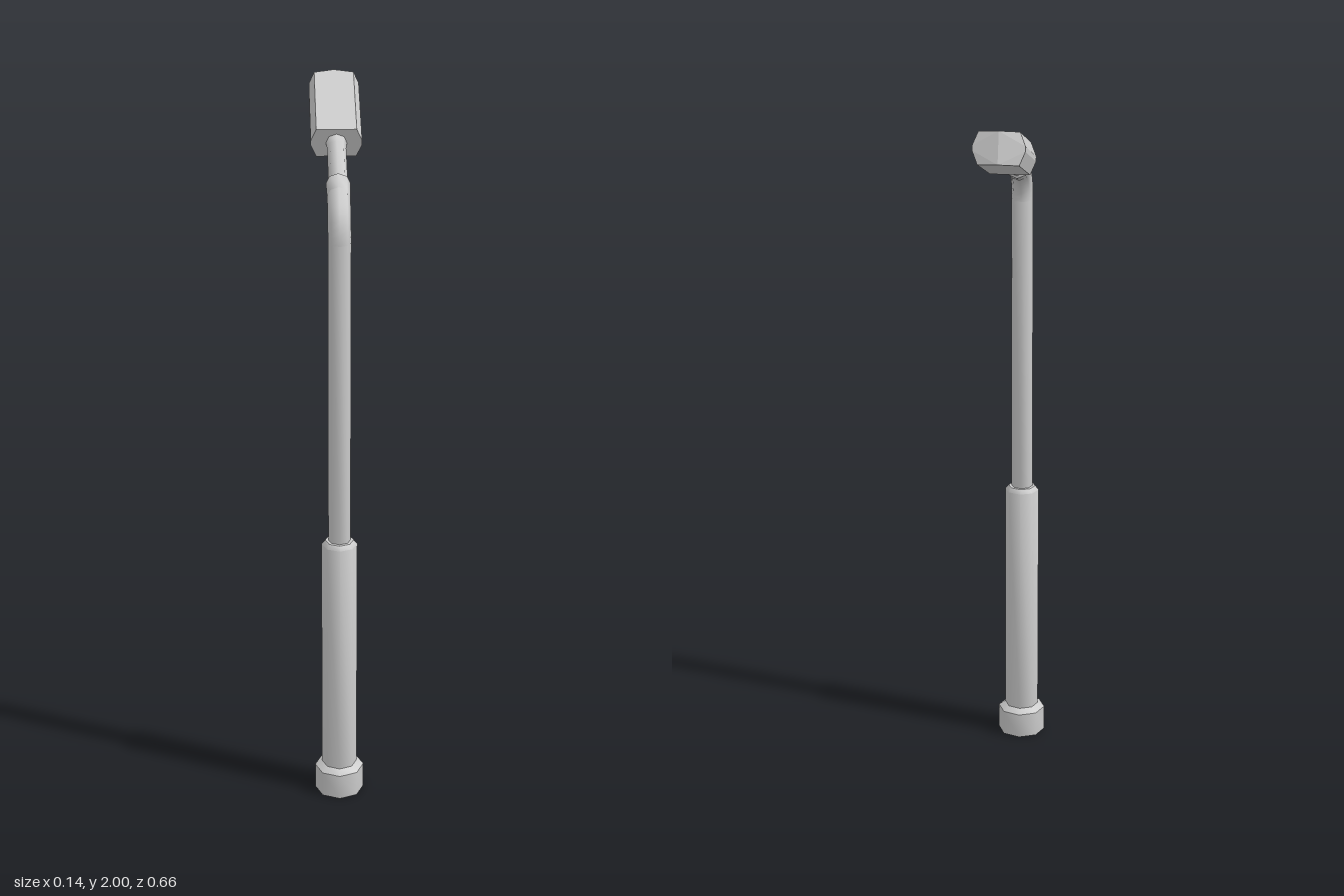
import * as THREE from 'three';
import { toCreasedNormals } from 'three/addons/utils/BufferGeometryUtils.js';
import { ConvexGeometry } from 'three/addons/geometries/ConvexGeometry.js';

const SIDES = 8;
const POLE_Z = 0.258;
const NECK = new THREE.Vector3(0, 1.866, -0.034); // where the arm meets the lamp
const ARM_TILT = THREE.MathUtils.degToRad(20.5); // slopes above horizontal
const LAMP_TILT = THREE.MathUtils.degToRad(18);

export function createModel() {
  const model = new THREE.Group();
  // Tubes are open-ended, so their inner walls can show
  const material = new THREE.MeshStandardMaterial({ color: 0xcccccc, side: THREE.DoubleSide });

  const add = (parent, name, geometry) => {
    const mesh = new THREE.Mesh(geometry, material);
    mesh.name = name;
    parent.add(mesh);
    return mesh;
  };
  // Eight-sided turned part from [radius, height] pairs, bottom to top
  const turned = (profile) => toCreasedNormals(
    new THREE.LatheGeometry(profile.map(([r, y]) => new THREE.Vector2(r, y)), SIDES), 0.8);

  // Upright: open-bottomed foot, thick sleeve, slim pole
  const upright = new THREE.Group();
  upright.name = 'upright';
  upright.position.z = POLE_Z;
  model.add(upright);
  add(upright, 'foot', turned([[0.07, 0], [0.07, 0.075], [0.05, 0.088]]));
  add(upright, 'sleeve', turned([[0.05, 0.088], [0.05, 0.793], [0.04, 0.805], [0.031, 0.805]]));
  add(upright, 'pole', turned([[0.031, 0.805], [0.031, 1.68]]));

  // Bend from the pole into the arm
  const armLength = (POLE_Z - NECK.z) / Math.cos(ARM_TILT);
  const along = new THREE.Vector3(0, Math.sin(ARM_TILT), -Math.cos(ARM_TILT));
  const bendCurve = new THREE.QuadraticBezierCurve3(
    new THREE.Vector3(0, 1.68, POLE_Z),
    NECK.clone().addScaledVector(along, -armLength),
    NECK.clone().addScaledVector(along, 0.08 - armLength));
  add(model, 'bend', new THREE.TubeGeometry(bendCurve, 8, 0.031, SIDES, false));

  // Groups at the neck: +y runs outwards, +z is the upper side
  const neckGroup = (name, tilt) => {
    const group = new THREE.Group();
    group.name = name;
    group.position.copy(NECK);
    group.rotation.x = tilt - Math.PI / 2;
    model.add(group);
    return group;
  };

  const arm = neckGroup('arm', ARM_TILT);
  add(arm, 'collar', turned([[0.031, 0.08 - armLength], [0.033, -0.176], [0.026, -0.172]]));
  add(arm, 'armTube', turned([[0.026, -0.174], [0.026, -0.025], [0.029, 0.002]]));

  // Lamp head: chamfered section with a bowed far end
  const lamp = neckGroup('lamp', LAMP_TILT);
  const section = [[0.055, 0.044], [0.07, 0.007], [0.07, -0.007], [0.055, -0.044]];
  const points = [];
  for (const side of [-1, 1]) {
    for (const [x, z] of section) {
      for (const y of [0, 0.281]) points.push(new THREE.Vector3(side * x, y, z));
    }
  }
  for (const z of [0.044, -0.044]) points.push(new THREE.Vector3(0, 0.294, z));
  add(lamp, 'lampHead', new ConvexGeometry(points));

  return model;
}
